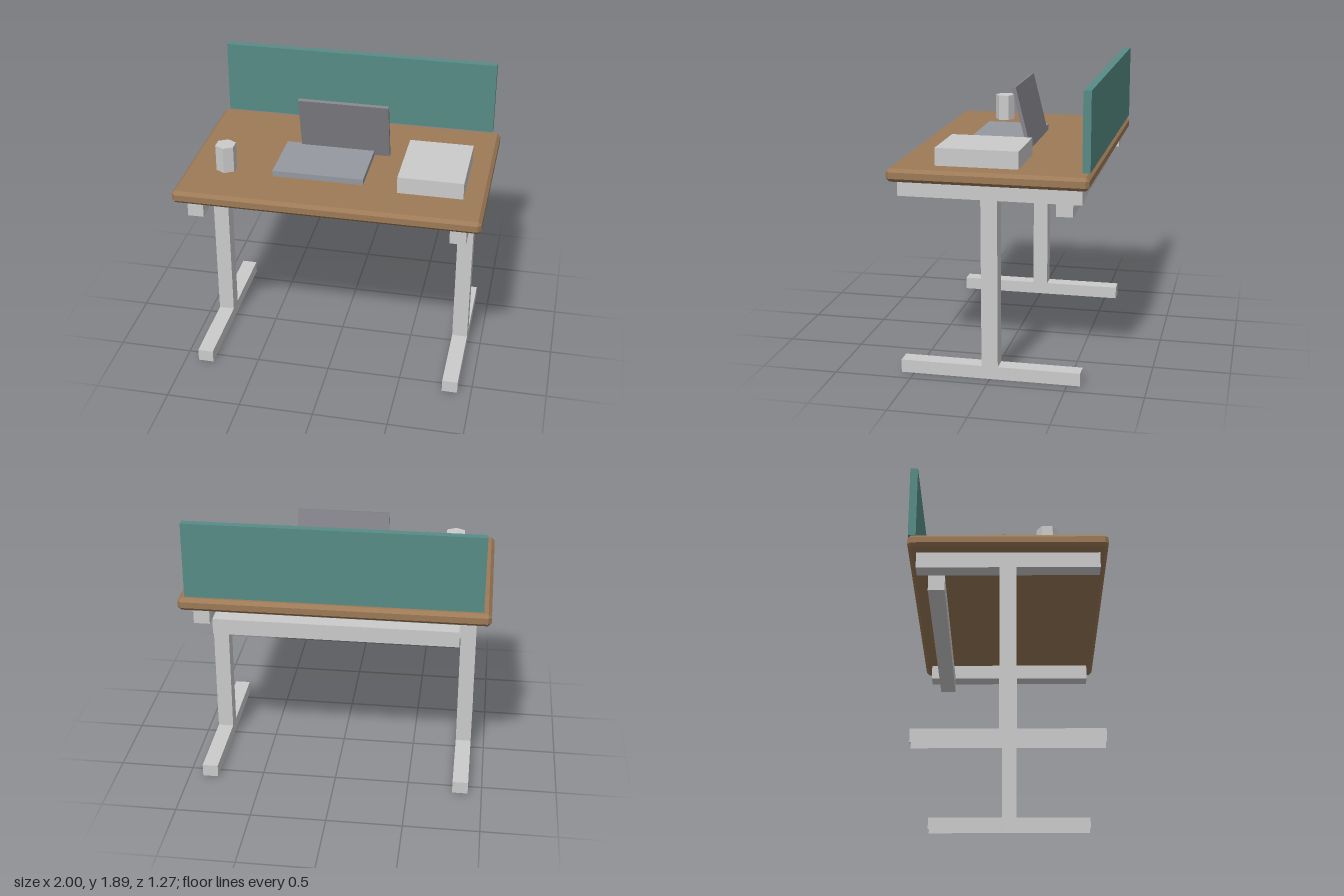
import * as THREE from 'three';
import { ConvexGeometry } from 'three/addons/geometries/ConvexGeometry.js';

const mat = (color, side = THREE.FrontSide) =>
  new THREE.MeshStandardMaterial({ color, side, flatShading: true });

// Box given by its min and max on each axis; openBottom drops the underside
function box(name, [x0, x1], [y0, y1], [z0, z1], material, openBottom = false) {
  const geo = new THREE.BoxGeometry(x1 - x0, y1 - y0, z1 - z0);
  if (openBottom) {
    const idx = Array.from(geo.index.array);
    idx.splice(18, 6);
    geo.setIndex(idx);
    geo.clearGroups();
  }
  const mesh = new THREE.Mesh(geo, material);
  mesh.position.set((x0 + x1) / 2, (y0 + y1) / 2, (z0 + z1) / 2);
  mesh.name = name;
  return mesh;
}

// Box with every edge cut at 45 degrees
function chamferedBox(w, h, d, c) {
  const pts = [];
  for (const sx of [-1, 1]) for (const sy of [-1, 1]) for (const sz of [-1, 1]) {
    for (let axis = 0; axis < 3; axis++) {
      const p = [w / 2 - c, h / 2 - c, d / 2 - c];
      p[axis] += c;
      pts.push(new THREE.Vector3(sx * p[0], sy * p[1], sz * p[2]));
    }
  }
  return new ConvexGeometry(pts);
}

export function createModel() {
  const desk = new THREE.Group();
  desk.name = 'desk';

  const grey = mat(0xcccccc);
  const greyOpen = mat(0xcccccc, THREE.DoubleSide);
  const wood = mat(0x9d7a57);
  const fabric = mat(0x588c86);
  const shell = mat(0x95989f);
  const lid = mat(0x84848b);

  // Tabletop
  const TOP = 1.37;
  const top = new THREE.Mesh(chamferedBox(2, 0.085, 1.27, 0.022), wood);
  top.position.y = TOP - 0.0425;
  top.name = 'tabletop';
  desk.add(top);

  // Two leg frames: foot and post (open underneath) and a top arm
  for (const [side, s] of [['left', 1], ['right', -1]]) {
    const leg = new THREE.Group();
    leg.name = side + 'Leg';
    const xs = s > 0 ? [0.803, 0.908] : [-0.908, -0.803];
    leg.add(
      box('foot', xs, [0, 0.085], [-0.583, 0.585], greyOpen, true),
      box('post', xs, [0, 1.178], [-0.053, 0.053], greyOpen, true),
      box('topArm', xs, [1.178, 1.287], [-0.583, 0.585], grey),
    );
    desk.add(leg);
  }

  // Rear cross beam and privacy screen
  desk.add(
    box('crossBeam', [-0.805, 0.803], [1.07, 1.177], [-0.51, -0.403], grey),
    box('privacyScreen', [-0.95, 0.947], [1.39, 1.89], [-0.636, -0.586], fabric),
  );

  // Laptop: base with the lid leaning forward
  const laptop = new THREE.Group();
  laptop.name = 'laptop';
  laptop.add(box('laptopBase', [-0.41, 0.195], [TOP, 1.41], [-0.13, 0.3], shell));
  const screen = box('laptopLid', [-0.305, 0.3], [0, 0.415], [-0.0125, 0.0125], lid);
  screen.position.set(-0.0025, 1.579, -0.08);
  screen.rotation.x = 0.245;
  laptop.add(screen);
  desk.add(laptop);

  // Paper stack
  desk.add(box('paperStack', [0.427, 0.855], [TOP, 1.483], [-0.178, 0.355], grey));

  // Six-sided cup
  const cup = new THREE.Mesh(new THREE.CylinderGeometry(0.07, 0.07, 0.18, 6), grey);
  cup.position.set(-0.733, TOP + 0.09, 0.255);
  cup.name = 'cup';
  desk.add(cup);

  return desk;
}
